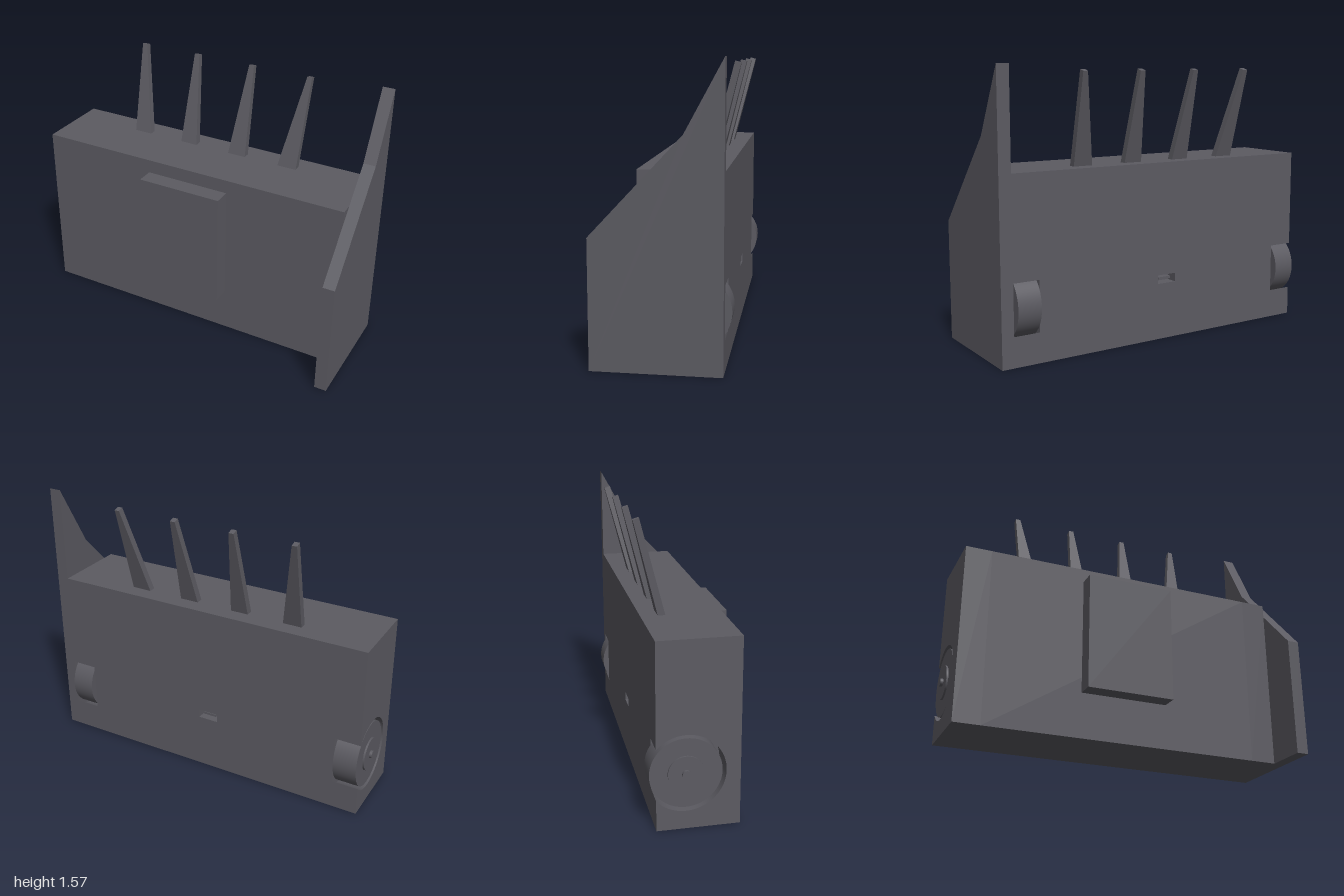
import * as THREE from 'three';

export function createModel() {
  const model = new THREE.Group();
  const grey = new THREE.MeshStandardMaterial({ color: 0x5c5b62 });
  grey.name = 'darkGrey';

  const add = (name, geometry, parent = model) => {
    const mesh = new THREE.Mesh(geometry, grey);
    mesh.name = name;
    parent.add(mesh);
    return mesh;
  };
  // Box given by its limits on each axis
  const box = (x0, x1, y0, y1, z0, z1) =>
    new THREE.BoxGeometry(x1 - x0, y1 - y0, z1 - z0)
      .translate((x0 + x1) / 2, (y0 + y1) / 2, (z0 + z1) / 2);
  // Side profile (horizontal axis = -z) extruded from x0 to x1
  const extrudeX = (shape, x0, x1) =>
    new THREE.ExtrudeGeometry(shape, { depth: x1 - x0, bevelEnabled: false, curveSegments: 48 })
      .rotateY(Math.PI / 2).translate(x0, 0, 0);

  const LEFT = 0.93, RIGHT = -0.98, TOP = 1.02, BACK = -0.32, FRONT = 0.12;
  const wheelY = 0.31, wheelZ = -0.165, wellR = 0.21;

  // Middle of the body, with a thin rear wall holding the socket opening
  const body = new THREE.Group();
  body.name = 'body';
  model.add(body);
  add('bodyCore', box(-0.83, 0.78, 0, TOP, -0.25, FRONT), body);
  const wall = new THREE.Shape([[-0.83, 0], [0.78, 0], [0.78, TOP], [-0.83, TOP]]
    .map(p => new THREE.Vector2(...p)));
  wall.holes.push(new THREE.Path([[-0.095, 0.325], [-0.095, 0.375], [0.025, 0.375], [0.025, 0.325]]
    .map(p => new THREE.Vector2(...p))));
  add('rearWall', new THREE.ExtrudeGeometry(wall, { depth: 0.07, bevelEnabled: false })
    .translate(0, 0, BACK), body);
  add('socketTongue', box(-0.075, 0.005, 0.343, 0.357, -0.30, -0.25), body);

  // Body ends with round wheel wells open to the back
  const t = Math.acos((-BACK + wheelZ) / wellR);
  const end = new THREE.Shape();
  end.moveTo(-FRONT, 0);
  end.lineTo(-BACK, 0);
  end.lineTo(-BACK, wheelY - wellR * Math.sin(t));
  end.absarc(-wheelZ, wheelY, wellR, -t, t, true);
  end.lineTo(-BACK, TOP);
  end.lineTo(-FRONT, TOP);
  end.closePath();
  add('rightBodyEnd', extrudeX(end, RIGHT, -0.83), body);
  add('leftBodyEnd', extrudeX(end, 0.78, LEFT), body);

  // Tall sloping side plate
  const plate = new THREE.Shape([[-0.36, 0], [0.32, 0], [0.32, 1.57], [0.12, 1.2], [-0.36, 0.685]]
    .map(p => new THREE.Vector2(...p)));
  add('sidePlate', extrudeX(plate, LEFT, 1));

  // Raised front panel
  add('frontPanel', box(-0.28, 0.23, 0.26, 0.94, FRONT, 0.22));

  // Wheels, with hub discs and axle
  const disc = (name, r, x0, x1, parent) =>
    add(name, new THREE.CylinderGeometry(r, r, x1 - x0, 64).rotateZ(Math.PI / 2)
      .translate((x0 + x1) / 2, wheelY, wheelZ), parent);
  for (const [name, x0, x1] of [['rightWheel', -0.975, -0.84], ['leftWheel', 0.785, 0.92]]) {
    const wheel = new THREE.Group();
    wheel.name = name;
    model.add(wheel);
    disc('tyre', 0.19, x0, x1, wheel);
    if (x0 < 0) {
      disc('hubDisc', 0.095, -0.985, x0, wheel);
      disc('axle', 0.022, -1, x0, wheel);
    }
  }

  // Tapering prongs leaning backwards: base x range, tip x range
  const prongs = [
    [-0.565, -0.455, -0.58, -0.55],
    [-0.24, -0.135, -0.22, -0.19],
    [0.08, 0.19, 0.137, 0.167],
    [0.4, 0.515, 0.497, 0.525],
  ];
  prongs.forEach(([b0, b1, t0, t1], i) => {
    const g = new THREE.BoxGeometry(1, 1, 1);
    const p = g.attributes.position;
    for (let k = 0; k < p.count; k++) {
      const left = p.getX(k) > 0, top = p.getY(k) > 0, front = p.getZ(k) > 0;
      if (top) p.setXYZ(k, left ? t1 : t0, front ? 1.54 : 1.53, front ? -0.322 : -0.355);
      else p.setXYZ(k, left ? b1 : b0, TOP, front ? -0.187 : -0.228);
    }
    const flat = g.toNonIndexed();
    flat.computeVertexNormals();
    add('prong' + (i + 1), flat);
  });

  return model;
}
